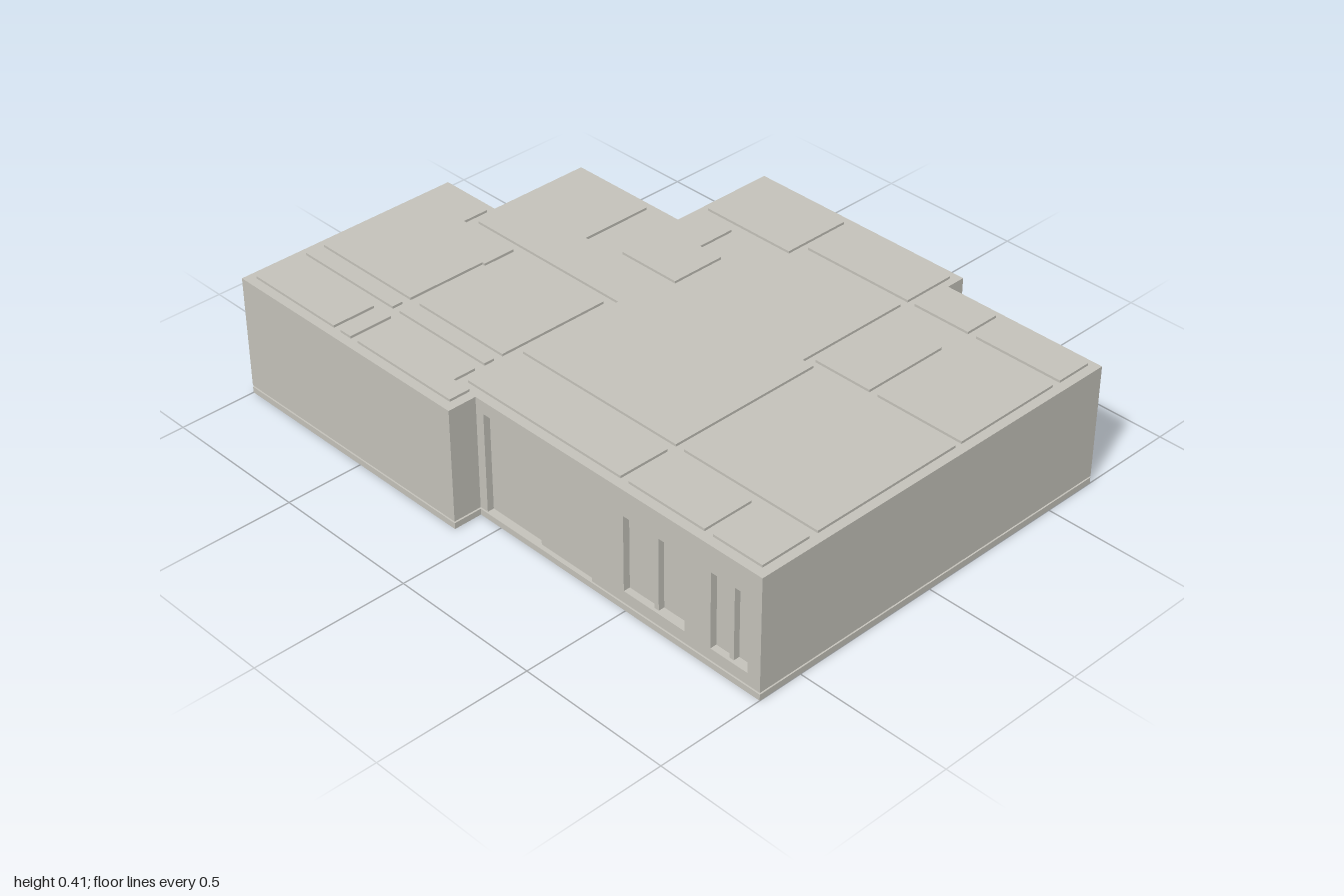
import * as THREE from 'three';

const plaster = new THREE.MeshStandardMaterial({ color: 0xc5c3bb });
plaster.name = 'pale grey plaster';

const BASE = 0.02, FLOOR = 0.026, LID = 0.38, TOP = 0.4, CEILING = 0.408, T = 0.03;

// House footprint as [x, z] corners
const outline = [
  [-0.36, -0.745], [0.44, -0.745], [0.44, -0.68], [1, -0.68], [1, 0.65], [-0.085, 0.65],
  [-0.085, 0.745], [-1, 0.745], [-1, -0.03], [-0.785, -0.03], [-0.785, -0.38], [-0.36, -0.38],
];

const rect = (x0, x1, z0, z1) => [[x0, z0], [x1, z0], [x1, z1], [x0, z1]];

// Room outlines in plan
const rooms = [
  [[-0.2, -0.715], [0, -0.715], [0, -0.48], [-0.335, -0.48], [-0.335, -0.6], [-0.2, -0.6]],
  rect(0.025, 0.415, -0.715, -0.535),
  rect(0.44, 0.64, -0.655, -0.535),
  rect(0.67, 0.97, -0.655, -0.535),
  rect(0.44, 0.64, -0.425, -0.13),
  rect(0.67, 0.97, -0.505, -0.13),
  rect(0.485, 0.97, -0.105, 0.42),
  rect(0.485, 0.765, 0.45, 0.62),
  rect(0.795, 0.97, 0.45, 0.62),
  rect(-0.15, 0.455, 0.45, 0.62),
  [[0.025, -0.505], [0.415, -0.505], [0.415, -0.105], [0.455, -0.105], [0.455, 0.42],
    [-0.15, 0.42], [-0.15, 0.06], [-0.755, 0.06], [-0.755, -0.35], [-0.465, -0.35],
    [-0.465, -0.105], [-0.085, -0.105], [-0.085, -0.445], [0.025, -0.445]],
  [[-0.335, -0.445], [-0.2, -0.445], [-0.2, -0.315], [-0.115, -0.315], [-0.115, -0.13], [-0.335, -0.13]],
  [[-0.97, 0], [-0.785, 0], [-0.785, 0.09], [-0.565, 0.09], [-0.565, 0.2], [-0.575, 0.2],
    [-0.575, 0.47], [-0.97, 0.47]],
  rect(-0.535, -0.18, 0.09, 0.47),
  rect(-0.97, -0.575, 0.5, 0.535),
  rect(-0.545, -0.18, 0.5, 0.535),
  rect(-0.97, -0.615, 0.57, 0.715),
  rect(-0.585, -0.54, 0.57, 0.715),
  [[-0.51, 0.57], [-0.18, 0.57], [-0.18, 0.645], [-0.115, 0.645], [-0.115, 0.715], [-0.51, 0.715]],
];

// Openings by wall index: x range, y range and kind
const openings = {
  0: [[0.13, 0.3, 0.065, 0.315, 'window'], [-0.175, -0.05, 0.065, 0.315, 'window']],
  2: [[0.68, 0.965, 0.065, 0.315, 'window'], [0.495, 0.61, 0.065, 0.315, 'window']],
  4: [[-0.055, 0.37, FLOOR, 0.358, 'slidingDoor'], [0.495, 0.725, 0.065, 0.315, 'window'],
    [0.82, 0.955, 0.065, 0.315, 'window']],
  10: [[-0.685, -0.54, FLOOR, 0.358, 'door']],
};

function mesh(geometry, name) {
  const m = new THREE.Mesh(geometry, plaster);
  m.name = name;
  return m;
}

// Slab raised between two heights from a plan outline
function slab(points, y0, y1, name) {
  const shape = new THREE.Shape(points.map(([x, z]) => new THREE.Vector2(x, -z)));
  const g = new THREE.ExtrudeGeometry(shape, { depth: y1 - y0, bevelEnabled: false });
  g.rotateX(-Math.PI / 2).translate(0, y0, 0);
  return mesh(g, name);
}

function box(u0, u1, y0, y1, z0, z1, name) {
  const g = new THREE.BoxGeometry(u1 - u0, y1 - y0, z1 - z0);
  g.translate((u0 + u1) / 2, (y0 + y1) / 2, (z0 + z1) / 2);
  return mesh(g, name);
}

// Outward normal of wall i
function normal(i) {
  const n = outline.length, p = outline[(i + n) % n], q = outline[(i + 1) % n];
  return [Math.sign(q[1] - p[1]), -Math.sign(q[0] - p[0])];
}

// Leaves that fill an opening, set back from the wall face
function fillOpening(wall, u0, u1, y0, y1, kind) {
  const mid = (u0 + u1) / 2;
  if (kind === 'door') {
    wall.add(box(u0, u1, y0, y1, -T, -0.012, 'doorLeaf'));
    const knob = mesh(new THREE.SphereGeometry(0.006, 12, 8), 'doorKnob');
    knob.position.set(u1 - 0.018, 0.18, -0.008);
    wall.add(knob);
  } else if (kind === 'slidingDoor') {
    wall.add(box(u0, mid, y0, y1, -T, -0.022, 'rearSlidingLeaf'));
    wall.add(box(mid, u1, y0, y1, -T, -0.01, 'frontSlidingLeaf'));
  } else {
    wall.add(box(u0, mid, y0, y1, -T, -0.022, 'windowSash'));
    wall.add(box(mid - 0.008, mid + 0.008, y0, y1, -T, -0.01, 'windowPost'));
  }
}

// Wall panel with its openings cut through
function buildWall(i) {
  const p = outline[i], q = outline[(i + 1) % outline.length];
  const [nx, nz] = normal(i);
  const length = Math.hypot(q[0] - p[0], q[1] - p[1]);
  const wall = new THREE.Group();
  wall.name = 'outerWall';
  const shape = new THREE.Shape();
  shape.moveTo(0, FLOOR).lineTo(length, FLOOR).lineTo(length, LID);
  // A doorway notches the bottom edge; a window is a hole
  const list = (openings[i] || []).map(([x0, x1, y0, y1, kind]) => {
    const u = [(x0 - q[0]) * nz, (x1 - q[0]) * nz].sort((a, b) => a - b);
    return [u[0], u[1], y0, y1, kind];
  });
  shape.lineTo(0, LID);
  const doorway = list.find((o) => o[2] === FLOOR);
  if (doorway) {
    shape.curves.length = 0;
    shape.moveTo(0, FLOOR).lineTo(doorway[0], FLOOR).lineTo(doorway[0], doorway[3])
      .lineTo(doorway[1], doorway[3]).lineTo(doorway[1], FLOOR)
      .lineTo(length, FLOOR).lineTo(length, LID).lineTo(0, LID);
  }
  for (const [u0, u1, y0, y1, kind] of list) {
    if (kind === 'window') {
      shape.holes.push(new THREE.Path().moveTo(u0, y0).lineTo(u0, y1).lineTo(u1, y1).lineTo(u1, y0).lineTo(u0, y0));
    }
    fillOpening(wall, u0, u1, y0, y1, kind);
  }
  const g = new THREE.ExtrudeGeometry(shape, { depth: T, bevelEnabled: false });
  wall.add(mesh(g.translate(0, 0, -T), 'wallPanel'));
  wall.position.set(q[0], 0, q[1]);
  wall.rotation.y = Math.atan2(nx, nz);
  return wall;
}

export function createModel() {
  const house = new THREE.Group();
  house.name = 'house';

  // Foundation, solid core behind the walls, and wall top
  house.add(slab(outline, 0, BASE, 'foundation'));
  const core = outline.map(([x, z], i) => {
    const a = normal(i - 1), b = normal(i);
    return [x - T * (a[0] + b[0]), z - T * (a[1] + b[1])];
  });
  house.add(slab(core, BASE, LID, 'innerCore'));
  house.add(slab(outline, LID, TOP, 'wallTop'));

  // Outer walls with windows and doors
  outline.forEach((_, i) => house.add(buildWall(i)));

  // Raised ceiling panel over every room
  rooms.forEach((room) => house.add(slab(room, TOP - 0.005, CEILING, 'roomCeiling')));
  return house;
}
